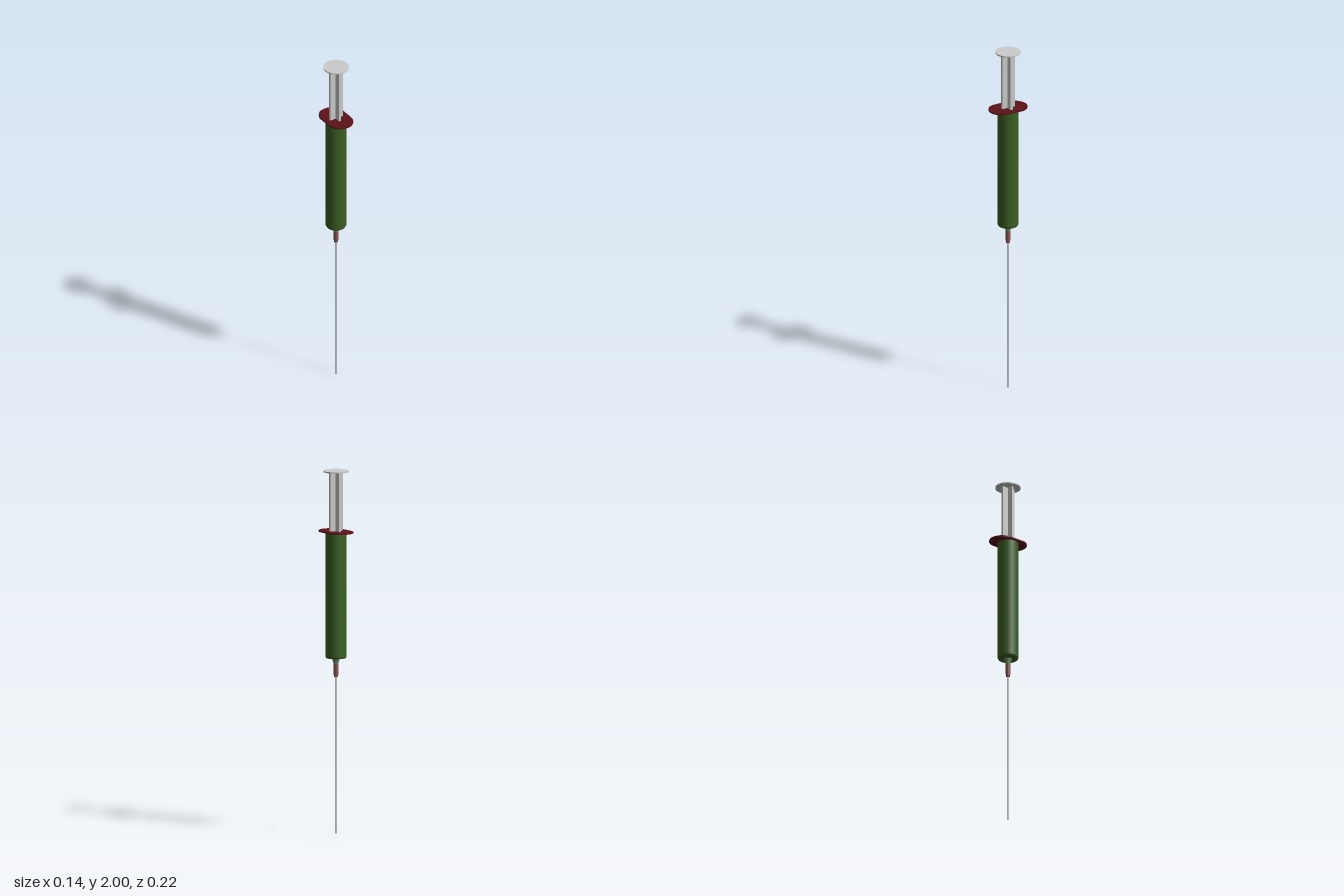
import * as THREE from 'three';

const mat = (color) => new THREE.MeshStandardMaterial({ color });

export function createModel() {
  const model = new THREE.Group();
  model.name = 'syringe';
  const grey = mat(0xcccccc), green = mat(0x3b5f22), paleGreen = mat(0x6a8a60);
  const red = mat(0x5c1218), rose = mat(0x8a5550), steel = mat(0x77686e);

  const add = (name, geometry, material, y = 0) => {
    const mesh = new THREE.Mesh(geometry, material);
    mesh.name = name;
    mesh.position.y = y;
    model.add(mesh);
    return mesh;
  };
  // Upright cylinder or cone between two heights
  const rod = (name, y0, y1, r0, r1, material, sides = 32) =>
    add(name, new THREE.CylinderGeometry(r1, r0, y1 - y0, sides), material, (y0 + y1) / 2);

  // Barrel with a slightly bevelled lower rim
  rod('barrel', 0.975, 1.662, 0.057, 0.057, green, 48);
  rod('barrelRim', 0.967, 0.975, 0.053, 0.057, green, 48);

  // Nozzle, needle hub and needle
  rod('nozzleCollar', 0.95, 0.968, 0.018, 0.021, paleGreen);
  rod('nozzle', 0.925, 0.95, 0.013, 0.016, paleGreen);
  rod('needleHub', 0.863, 0.935, 0.012, 0.014, rose);
  rod('needle', 0, 0.87, 0.004, 0.004, steel, 12);

  // Finger flange: rounded-ended plate, long along z
  const r = 0.072, c = 0.04;
  const plate = new THREE.Shape();
  plate.absarc(0, c, r, 0, Math.PI, false);
  plate.absarc(0, -c, r, Math.PI, Math.PI * 2, false);
  plate.closePath();
  const flange = new THREE.ExtrudeGeometry(plate, { depth: 0.007, bevelEnabled: false, curveSegments: 24 });
  flange.rotateX(-Math.PI / 2);
  add('fingerFlange', flange, red, 1.66);

  // Plunger: two crossed ribs and a thumb disc
  const ribs = new THREE.Group();
  ribs.name = 'plungerRibs';
  for (let i = 0; i < 2; i++) {
    const rib = new THREE.Mesh(new THREE.BoxGeometry(0.08, 0.345, 0.013), grey);
    rib.name = 'plungerRib';
    rib.position.y = 1.8225;
    rib.rotation.y = i * Math.PI / 2;
    ribs.add(rib);
  }
  model.add(ribs);
  rod('thumbDisc', 1.993, 2, 0.069, 0.069, grey, 48);

  return model;
}
